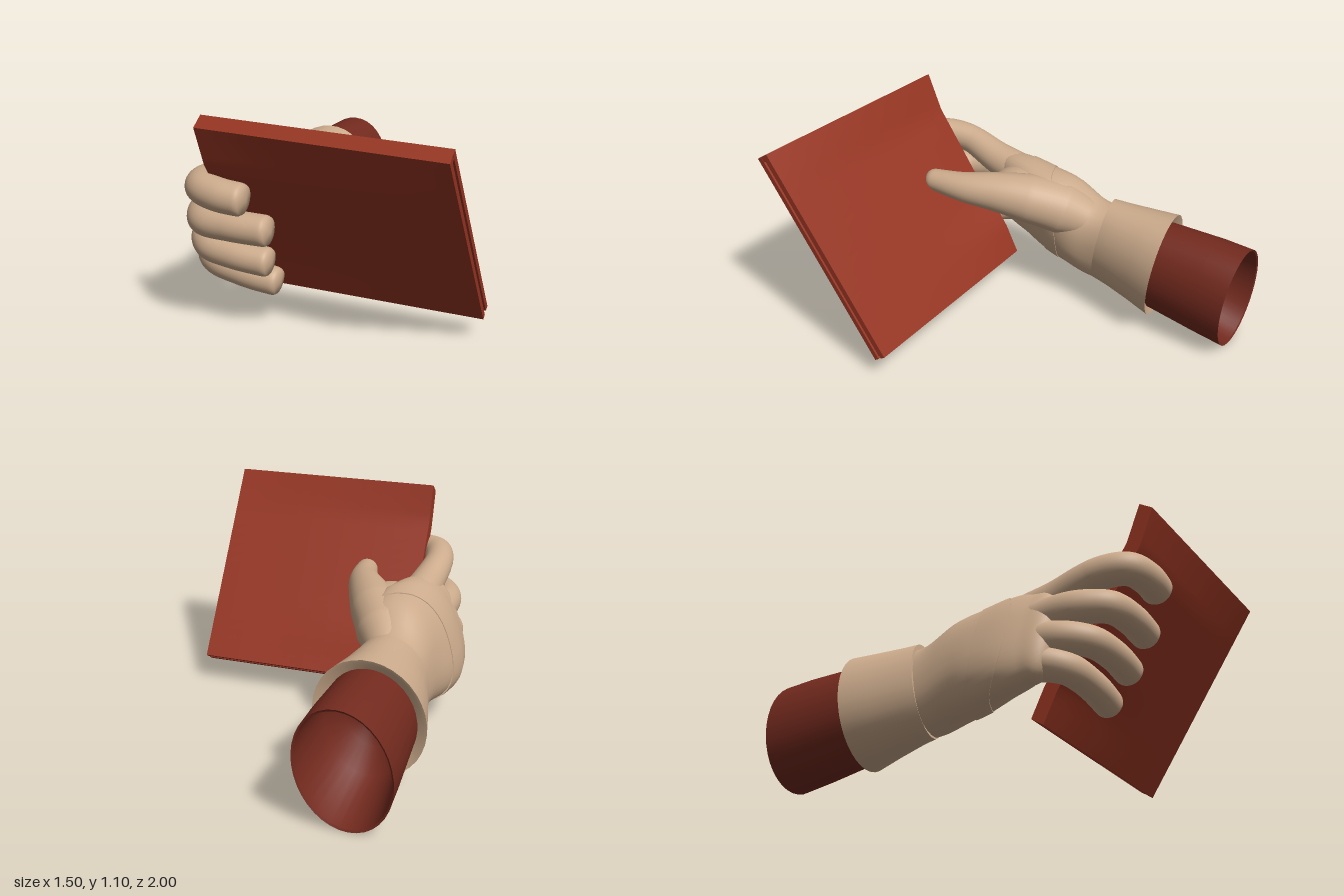
import * as THREE from 'three';
import { toCreasedNormals } from 'three/addons/utils/BufferGeometryUtils.js';

const glove = new THREE.MeshStandardMaterial({ color: 0xccab8c });
const red = new THREE.MeshStandardMaterial({ color: 0x963522 });
const sleeveRed = new THREE.MeshStandardMaterial({ color: 0x732a1e });
const SIDES = 36;

// Skin a list of closed rings of points
function loft(name, rings, material, crease = 0.8) {
  const n = rings[0].length, index = [];
  for (let i = 0; i < rings.length - 1; i++) {
    for (let j = 0; j < n; j++) {
      const k = (j + 1) % n, a = i * n + j, b = i * n + k, c = a + n, d = b + n;
      index.push(a, b, d, a, d, c);
    }
  }
  const g = new THREE.BufferGeometry();
  g.setAttribute('position', new THREE.Float32BufferAttribute(
    rings.flat().flatMap((p) => [p.x, p.y, p.z]), 3));
  g.setIndex(index);
  const mesh = new THREE.Mesh(toCreasedNormals(g, crease), material);
  mesh.name = name;
  return mesh;
}

const around = (fn) => Array.from({ length: SIDES }, (_, j) => fn(j / SIDES * Math.PI * 2));

// Elliptical ring, rolled slightly, whose plane leans by tx and ty
const ring = (cx, cy, z, rx, ry, tx = 0, ty = 0) => around((a) => {
  const dx = Math.cos(a) * rx, dy = Math.sin(a) * ry;
  return new THREE.Vector3(cx + dx + 0.08 * dy, cy + dy, z + tx * dx + ty * dy);
});

// Hand cross-sections: z, centre x, centre y, half width, half height, sideways lean
const SECTIONS = [
  [-0.35, -0.5, 0.37, 0.16, 0.22, 0.08],
  [-0.16, -0.495, 0.37, 0.162, 0.228, 0.08],
  [0, -0.485, 0.435, 0.18, 0.265, 0.18],
  [0.15, -0.505, 0.45, 0.18, 0.28, 0.28],
  [0.3, -0.54, 0.46, 0.155, 0.28, 0.32],
  [0.42, -0.56, 0.46, 0.125, 0.262, 0.32],
  [0.52, -0.575, 0.455, 0.085, 0.21, 0.3],
  [0.57, -0.575, 0.455, 0.001, 0.001, 0.3],
];

function handPoint(z, a, grow = 1) {
  let i = 0;
  while (i < SECTIONS.length - 2 && z > SECTIONS[i + 1][0]) i++;
  const s = SECTIONS[i], e = SECTIONS[i + 1];
  const before = SECTIONS[Math.max(i - 1, 0)], after = SECTIONS[Math.min(i + 2, SECTIONS.length - 1)];
  const t = (z - s[0]) / (e[0] - s[0]), span = e[0] - s[0];
  // Cubic blend with slopes from the neighbouring sections
  const v = (k) => {
    const m0 = (e[k] - before[k]) / (e[0] - before[0]) * span;
    const m1 = (after[k] - s[k]) / (after[0] - s[0]) * span;
    const t2 = t * t, t3 = t2 * t;
    return (2 * t3 - 3 * t2 + 1) * s[k] + (t3 - 2 * t2 + t) * m0
      + (3 * t2 - 2 * t3) * e[k] + (t3 - t2) * m1;
  };
  const boxy = (c) => Math.sign(c) * Math.abs(c) ** 0.85;
  const dx = boxy(Math.cos(a)) * Math.max(v(3), 0) * grow;
  const dy = boxy(Math.sin(a)) * Math.max(v(4), 0) * grow;
  return new THREE.Vector3(v(1) + dx + v(5) * dy, v(2) + dy, z);
}

// Tapering, round-ended limb along a curve
function limb(name, points, radii, blunt = 3.6) {
  const curve = new THREE.CatmullRomCurve3(points.map((p) => new THREE.Vector3(...p)));
  const steps = 70, length = curve.getLength(), cap = 0.05;
  const { normals, binormals } = curve.computeFrenetFrames(steps);
  const rings = [];
  for (let i = 0; i <= steps; i++) {
    const t = i / steps, f = t * (radii.length - 1), k = Math.min(Math.floor(f), radii.length - 2);
    const d = Math.min(t, 1 - t) * length;
    const end = d < cap ? (1 - (1 - d / cap) ** blunt) ** (1 / blunt) : 1;
    const r = THREE.MathUtils.lerp(radii[k], radii[k + 1], f - k) * end;
    const p = curve.getPointAt(t);
    rings.push(around((a) => p.clone()
      .addScaledVector(normals[i], Math.cos(a) * r)
      .addScaledVector(binormals[i], Math.sin(a) * r)));
  }
  return loft(name, rings, glove, 1.2);
}

// Leaning slab: x range, v range up the slope, depth range through the thickness
function slab(name, x0, x1, v0, v1, n0, n1) {
  const g = new THREE.BoxGeometry(1, 1, 1, 12, 20, 1), p = g.attributes.position;
  for (let i = 0; i < p.count; i++) {
    const x = THREE.MathUtils.lerp(x0, x1, p.getX(i) + 0.5);
    const v = THREE.MathUtils.lerp(v0, v1, p.getY(i) + 0.5);
    const n = THREE.MathUtils.lerp(n0, n1, p.getZ(i) + 0.5);
    // Towards the spine the top bends back and the lower part bulges back
    const side = (0.74 - x) / 1.14;
    const bend = 0.05 * side * Math.max(0, (v - 0.8) / 0.2)
      + 0.03 * side ** 3 * Math.max(0, 1 - Math.abs(v - 0.18) / 0.18);
    p.setXYZ(i, x + 0.015 * (v - 0.5), 0.13 + 0.945 * v - 0.558 * n, 0.345 + 0.62 * v + 0.83 * n - bend);
  }
  g.computeVertexNormals();
  const mesh = new THREE.Mesh(g, red);
  mesh.name = name;
  return mesh;
}

export function createModel() {
  const model = new THREE.Group();
  model.name = 'handHoldingBook';

  // Book: two covers, recessed page block, closed spine and top
  const book = new THREE.Group();
  book.name = 'book';
  book.add(
    slab('frontCover', -0.41, 0.74, 0, 1, 0.01, 0.037),
    slab('backCover', -0.41, 0.74, 0, 1, -0.037, -0.01),
    slab('pages', -0.39, 0.73, 0.01, 0.985, -0.011, 0.011),
    slab('spine', -0.41, -0.37, 0, 1, -0.036, 0.036),
    slab('topEdge', -0.41, 0.739, 0.975, 1, -0.036, 0.036));
  model.add(book);

  // Hollow sleeve, from the deep inner end out round the rim
  model.add(loft('sleeve', [
    ring(-0.5, 0.345, -0.5, 0, 0),
    ring(-0.5, 0.34, -0.54, 0.12, 0.15, 0, -0.1),
    ring(-0.5, 0.33, -0.64, 0.185, 0.235, 0, -0.1),
    ring(-0.51, 0.29, -0.975, 0.216, 0.28, 0, -0.07),
    ring(-0.51, 0.29, -0.98, 0.224, 0.29, 0, -0.07),
    ring(-0.507, 0.308, -0.82, 0.22, 0.282, 0, -0.08),
    ring(-0.5, 0.34, -0.49, 0.205, 0.25, 0, -0.1),
  ], sleeveRed));

  // Flared glove cuff
  model.add(loft('cuff', [
    ring(-0.5, 0.34, -0.53, 0.19, 0.23, -0.14, -0.13),
    ring(-0.498, 0.34, -0.555, 0.24, 0.283, -0.14, -0.13),
    ring(-0.498, 0.34, -0.56, 0.256, 0.3, -0.14, -0.13),
    ring(-0.5, 0.355, -0.42, 0.222, 0.278, -0.17, -0.15),
    ring(-0.497, 0.372, -0.28, 0.19, 0.258, -0.2, -0.18),
    ring(-0.495, 0.38, -0.2, 0.176, 0.25, -0.2, -0.18),
    ring(-0.495, 0.38, -0.2, 0.14, 0.19, -0.2, -0.18),
  ], glove));

  // Palm and wrist
  const hand = new THREE.Group();
  hand.name = 'hand';
  const palm = [];
  for (let i = 0; i <= 50; i++) {
    const z = -0.35 + 0.92 * Math.sin(i / 50 * Math.PI / 2);
    palm.push(around((a) => handPoint(z, a)));
  }
  hand.add(loft('palm', palm, glove, 1.2));

  // Diagonal wrap over the back of the hand
  const wrap = [];
  for (let i = 0; i <= 14; i++) {
    const t = THREE.MathUtils.clamp((i - 1) / 12, 0, 1), grow = i === 0 || i === 14 ? 0.97 : 1.02;
    wrap.push(around((a) => {
      const c = Math.cos(a);
      return handPoint(THREE.MathUtils.lerp(0.09 - 0.09 * c, 0.22 - 0.13 * c, t), a, grow);
    }));
  }
  hand.add(loft('handWrap', wrap, glove));

  // Fingers curling round the edge of the book
  hand.add(
    limb('indexFinger', [[-0.47, 0.62, 0.25], [-0.485, 0.665, 0.48], [-0.495, 0.73, 0.7],
      [-0.445, 0.745, 0.83], [-0.34, 0.738, 0.872], [-0.205, 0.728, 0.872]],
    [0.1, 0.095, 0.085, 0.076, 0.076, 0.076, 0.074]),
    limb('middleFinger', [[-0.53, 0.52, 0.28], [-0.56, 0.54, 0.46], [-0.56, 0.55, 0.63],
      [-0.49, 0.555, 0.75], [-0.35, 0.56, 0.78], [-0.14, 0.558, 0.775]],
    [0.09, 0.09, 0.083, 0.075, 0.073, 0.073, 0.072]),
    limb('ringFinger', [[-0.57, 0.4, 0.28], [-0.6, 0.41, 0.44], [-0.59, 0.405, 0.57],
      [-0.52, 0.395, 0.67], [-0.37, 0.385, 0.705], [-0.18, 0.37, 0.7]],
    [0.09, 0.088, 0.08, 0.072, 0.07, 0.07, 0.07]),
    limb('littleFinger', [[-0.6, 0.29, 0.24], [-0.625, 0.3, 0.36], [-0.615, 0.295, 0.48],
      [-0.55, 0.278, 0.57], [-0.39, 0.255, 0.605], [-0.19, 0.228, 0.6]],
    [0.09, 0.086, 0.078, 0.072, 0.07, 0.07, 0.068]));

  // Thumb pressing on the back of the book, with the web joining it to the palm
  hand.add(
    limb('thumb', [[-0.47, 0.48, -0.15], [-0.39, 0.555, 0.02], [-0.3, 0.605, 0.17],
      [-0.215, 0.635, 0.32], [-0.145, 0.648, 0.47], [-0.1, 0.66, 0.685]],
    [0.1, 0.14, 0.13, 0.102, 0.075, 0.052], 2.2));
  const web = new THREE.Mesh(new THREE.SphereGeometry(1, 32, 20), glove);
  web.name = 'thumbWeb';
  web.scale.set(0.15, 0.1, 0.16);
  web.position.set(-0.36, 0.62, 0.25);
  hand.add(web);
  model.add(hand);
  return model;
}
